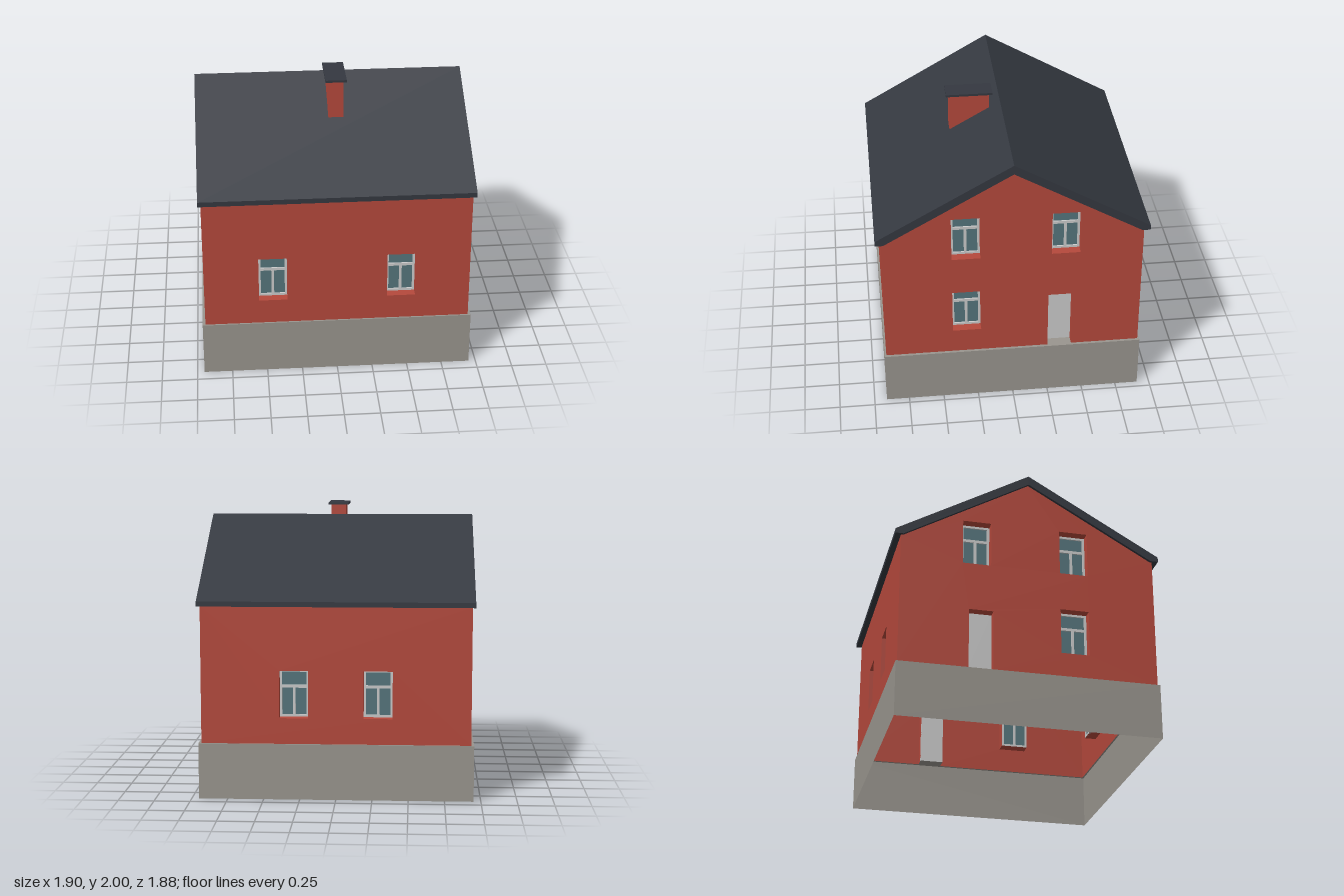
import * as THREE from 'three';

const material = (color) =>
  new THREE.MeshStandardMaterial({ color, side: THREE.DoubleSide, flatShading: true });

const BASE = 0.39, EAVE = 1.345, APEX = 1.853; // main heights
const HX = 0.93, HZ = 0.9;                     // wall half sizes
const BX = 0.95, BZ = 0.912;                   // foundation half sizes
const DEPTH = 0.085, FRAME = 0.02;             // opening depth, frame thickness
const WIN_W = 0.2, WIN_H = 0.33;

export function createModel() {
  const house = new THREE.Group();
  house.name = 'house';

  const red = material(0xb5493c);
  const stone = material(0x99958e);
  const slate = material(0x343840);
  const glass = material(0x55757c);
  const white = material(0xcccccc);

  function add(parent, name, geometry, mat, x = 0, y = 0, z = 0) {
    const mesh = new THREE.Mesh(geometry, mat);
    mesh.name = name;
    mesh.position.set(x, y, z);
    parent.add(mesh);
    return mesh;
  }

  const polygon = (points, Kind = THREE.Shape) =>
    new Kind(points.map(([x, y]) => new THREE.Vector2(x, y)));

  const rect = (x0, y0, x1, y1, Kind) =>
    polygon([[x0, y0], [x1, y0], [x1, y1], [x0, y1]], Kind);

  // Profile drawn in (z, y), extruded along x from x0 to x1
  function extrudeAlongX(points, x0, x1) {
    const shape = polygon(points.map(([z, y]) => [-z, y]));
    const g = new THREE.ExtrudeGeometry(shape, { depth: x1 - x0, bevelEnabled: false });
    return g.rotateY(Math.PI / 2).translate(x0, 0, 0);
  }

  // Sides of a recessed opening, running inwards from the wall face
  function addReveal(parent, u, v, w, h, sillMaterial) {
    for (const s of [-1, 1]) {
      add(parent, 'jamb', new THREE.PlaneGeometry(DEPTH, h).rotateY(-s * Math.PI / 2),
        red, u + s * w / 2, v + h / 2, -DEPTH / 2);
    }
    add(parent, 'lintel', new THREE.PlaneGeometry(w, DEPTH).rotateX(Math.PI / 2),
      red, u, v + h, -DEPTH / 2);
    add(parent, 'sill', new THREE.PlaneGeometry(w, DEPTH).rotateX(-Math.PI / 2),
      sillMaterial, u, v, -DEPTH / 2);
  }

  // Three-light window: one wide pane over two tall ones
  function addWindow(parent, u, v) {
    const win = new THREE.Group();
    win.name = 'window';
    parent.add(win);
    addReveal(win, u, v, WIN_W, WIN_H, red);

    const e = WIN_W / 2, i = e - 0.016, m = 0.009;
    const shape = rect(-e, 0, e, WIN_H);
    shape.holes.push(
      rect(-i, 0.222, i, WIN_H - 0.016, THREE.Path),
      rect(-i, 0.016, -m, 0.202, THREE.Path),
      rect(m, 0.016, i, 0.202, THREE.Path));
    const frame = new THREE.ExtrudeGeometry(shape, { depth: FRAME, bevelEnabled: false });
    add(win, 'windowFrame', frame, white, u, v, -DEPTH);
    add(win, 'windowGlass', new THREE.PlaneGeometry(2 * i, WIN_H - 0.032), glass,
      u, v + WIN_H / 2, -DEPTH + FRAME / 2);
  }

  // One side of the house in local (u, v), facing local +z
  function addSide(name, { half, dist, baseHalf, baseDist, turn, windows, door, gable }) {
    const side = new THREE.Group();
    side.name = name;
    side.rotation.y = turn;
    house.add(side);

    add(side, 'foundationWall', new THREE.PlaneGeometry(2 * baseHalf, BASE), stone,
      0, BASE / 2, baseDist);

    const face = new THREE.Group();
    face.name = name + 'Face';
    face.position.z = dist;
    side.add(face);

    const outline = [[-half, BASE]];
    if (door) {
      const l = door.u - door.w / 2, r = door.u + door.w / 2, t = BASE + door.h;
      outline.push([l, BASE], [l, t], [r, t], [r, BASE]);
    }
    outline.push([half, BASE], [half, EAVE]);
    if (gable) outline.push([0, APEX]);
    outline.push([-half, EAVE]);
    const shape = polygon(outline);
    for (const [u, v] of windows) {
      shape.holes.push(rect(u - WIN_W / 2, v, u + WIN_W / 2, v + WIN_H, THREE.Path));
    }
    add(face, 'wall', new THREE.ShapeGeometry(shape), red);

    for (const [u, v] of windows) addWindow(face, u, v);
    if (door) {
      addReveal(face, door.u, BASE, door.w, door.h, stone);
      add(face, 'door', new THREE.BoxGeometry(door.w, door.h, FRAME), white,
        door.u, BASE + door.h / 2, -DEPTH + FRAME / 2);
    }
  }

  // Long sides
  const low = 0.57, high = 1.18;
  const long = { half: HX, dist: HZ, baseHalf: BX, baseDist: BZ };
  addSide('frontSide', { ...long, turn: 0, windows: [[-0.449, low], [0.449, low]] });
  addSide('backSide', { ...long, turn: Math.PI, windows: [[-0.29, low], [0.29, low]] });

  // Gable sides, mirrored
  for (const s of [-1, 1]) {
    addSide(s > 0 ? 'leftGable' : 'rightGable', {
      half: HZ, dist: HX, baseHalf: BZ, baseDist: BX, turn: s * Math.PI / 2, gable: true,
      windows: [[-s * 0.324, low], [-s * 0.324, high], [s * 0.366, high]],
      door: { u: s * 0.334, w: 0.17, h: 0.44 },
    });
  }

  // Ledge between foundation and walls
  const ledge = rect(-BX, -BZ, BX, BZ);
  ledge.holes.push(rect(-HX, -HZ, HX, HZ, THREE.Path));
  add(house, 'foundationLedge', new THREE.ShapeGeometry(ledge).rotateX(-Math.PI / 2), stone, 0, BASE, 0);

  // Pitched roof slab
  add(house, 'roof', extrudeAlongX([
    [0.94, 1.38], [0, 1.92], [-0.94, 1.38], [-0.94, EAVE],
    [-0.885, EAVE], [0, APEX], [0.885, EAVE], [0.94, EAVE],
  ], -0.95, 0.95), slate);

  // Chimney with its foot cut to the roof slope
  add(house, 'chimney', extrudeAlongX(
    [[0.36, 1.69], [0.36, 1.985], [0.077, 1.985], [0.077, 1.853]], -0.023, 0.083), red);
  add(house, 'chimneyCap', new THREE.BoxGeometry(0.148, 0.016, 0.328), slate, 0.03, 1.992, 0.218);

  return house;
}
